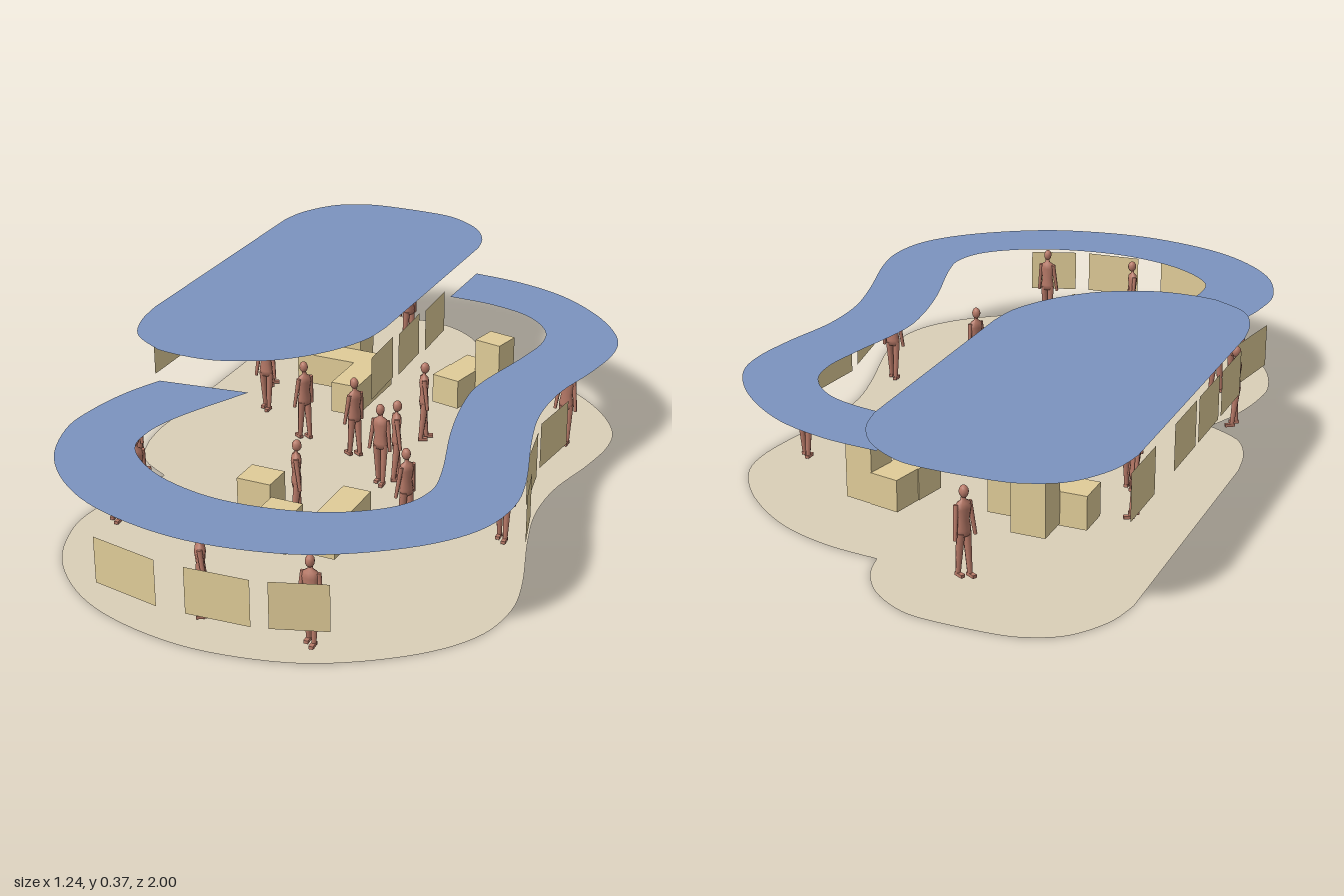
import * as THREE from 'three';

const mat = (color) => new THREE.MeshStandardMaterial({ color, side: THREE.DoubleSide });
const blue = mat(0x7b93bf), sand = mat(0xdacfb8), cream = mat(0xe0cc98), clay = mat(0xb87a68);

// Smooth plan curve through [x, z] points
const smooth = (pts, n = 90) =>
  new THREE.SplineCurve(pts.map(([x, z]) => new THREE.Vector2(x, -z))).getPoints(n);

// Outer and inner edges of the ribbon canopy, from the back round to the left
const outer = smooth([[0, -0.785], [0.15, -0.768], [0.3, -0.715], [0.44, -0.61], [0.53, -0.49],
  [0.555, -0.38], [0.54, -0.24], [0.507, -0.08], [0.507, 0.07], [0.54, 0.22], [0.6, 0.42],
  [0.618, 0.55], [0.59, 0.68], [0.5, 0.8], [0.35, 0.91], [0.2, 0.97], [0, 0.995], [-0.2, 0.962],
  [-0.35, 0.89], [-0.47, 0.77], [-0.53, 0.62], [-0.53, 0.5], [-0.505, 0.38], [-0.465, 0.28]], 120);
const inner = smooth([[0, -0.58], [0.13, -0.572], [0.25, -0.535], [0.33, -0.46], [0.355, -0.37],
  [0.34, -0.25], [0.3, -0.05], [0.305, 0.08], [0.34, 0.25], [0.4, 0.45], [0.415, 0.56],
  [0.37, 0.66], [0.25, 0.745], [0.1, 0.787], [-0.05, 0.79], [-0.2, 0.745], [-0.31, 0.66],
  [-0.335, 0.57], [-0.31, 0.45], [-0.22, 0.25]], 120);

// Pavilion outline: front corner, left side, back, right side
const frontLeft = smooth([[-0.465, 0.28], [-0.56, 0.22], [-0.605, 0.13], [-0.622, 0.03]], 16);
const back = smooth([[-0.622, -0.76], [-0.6, -0.85], [-0.54, -0.94], [-0.46, -0.985], [-0.38, -1],
  [-0.22, -1], [-0.14, -0.98], [-0.06, -0.925], [-0.01, -0.85], [0.01, -0.77]], 50);
const frontRight = smooth([[0.01, -0.1], [-0.005, 0], [-0.06, 0.11], [-0.14, 0.2], [-0.22, 0.25],
  [-0.31, 0.283], [-0.4, 0.288], [-0.465, 0.28]], 40);

function sheet(name, points, y, material) {
  const geo = new THREE.ShapeGeometry(new THREE.Shape(points)).rotateX(-Math.PI / 2);
  const mesh = new THREE.Mesh(geo, material);
  mesh.name = name;
  mesh.position.y = y;
  return mesh;
}

// Thin upright board between two plan points
function board(name, [x0, z0], [x1, z1], y0, y1) {
  const mesh = new THREE.Mesh(new THREE.PlaneGeometry(Math.hypot(x1 - x0, z1 - z0), y1 - y0), cream);
  mesh.name = name;
  mesh.position.set((x0 + x1) / 2, (y0 + y1) / 2, (z0 + z1) / 2);
  mesh.rotation.y = -Math.atan2(z1 - z0, x1 - x0);
  return mesh;
}

function block(name, x, z, w, d, y0, y1, turn = 0) {
  const mesh = new THREE.Mesh(new THREE.BoxGeometry(w, y1 - y0, d), cream);
  mesh.name = name;
  mesh.position.set(x, (y0 + y1) / 2, z);
  mesh.rotation.y = turn;
  return mesh;
}

// Standing figure about 0.23 tall
const torsoGeo = new THREE.LatheGeometry([[0, 0.108], [0.018, 0.11], [0.02, 0.125], [0.016, 0.148],
  [0.021, 0.178], [0.018, 0.192], [0.007, 0.199], [0.006, 0.208]]
  .map(([r, y]) => new THREE.Vector2(r, y)), 10).scale(1, 1, 0.65);
const headGeo = new THREE.SphereGeometry(0.0125, 10, 8).scale(0.9, 1.25, 1);
const legGeo = new THREE.CylinderGeometry(0.0105, 0.006, 0.11, 8);
const footGeo = new THREE.BoxGeometry(0.011, 0.008, 0.026);
const armGeo = new THREE.CylinderGeometry(0.0065, 0.0045, 0.085, 6);

function person(x, z, turn) {
  const g = new THREE.Group();
  g.name = 'visitor';
  const add = (geo, px, py, pz, rx = 0, rz = 0) => {
    const m = new THREE.Mesh(geo, clay);
    m.position.set(px, py, pz);
    m.rotation.set(rx, 0, rz);
    g.add(m);
    return m;
  };
  add(torsoGeo, 0, 0, 0).name = 'torso';
  add(headGeo, 0, 0.22, 0.002).name = 'head';
  for (const s of [-1, 1]) {
    add(legGeo, s * 0.01, 0.064, s * 0.004, s * -0.1).name = 'leg';
    add(footGeo, s * 0.01, 0.011, s * 0.009 + 0.006).name = 'foot';
    add(armGeo, s * 0.024, 0.148, 0.002, -0.1, s * 0.12).name = 'arm';
  }
  g.position.set(x, 0, z);
  g.rotation.y = turn;
  return g;
}

export function createModel() {
  const model = new THREE.Group();

  // Floor and the two flat canopies
  model.add(
    sheet('floor', [...outer, ...frontLeft.slice(1), ...back], 0, sand),
    sheet('ribbonCanopy', [...outer, ...inner.slice().reverse()], 0.277, blue),
    sheet('pavilionRoof', [...frontLeft, ...back, ...frontRight.slice(0, -1)], 0.365, blue));

  // Hanging boards along both long sides of the pavilion
  for (const z of [0, -0.18, -0.36, -0.655])
    model.add(board('leftHangingBoard', [-0.6, z + 0.08], [-0.6, z - 0.08], 0.19, 0.31));
  for (const z of [-0.09, -0.27, -0.455])
    model.add(board('innerHangingBoard', [0.008, z + 0.08], [0, z - 0.08], 0.19, 0.31));

  // Boards following the ribbon edge
  const edgeBoards = [
    [[-0.25, 0.955], [-0.07, 0.99], 0.085, 0.205], [[0.005, 0.99], [0.165, 0.98], 0.085, 0.205],
    [[0.205, 0.97], [0.335, 0.925], 0.085, 0.205], [[-0.5, 0.38], [-0.53, 0.57], 0.085, 0.205],
    [[0.6, 0.41], [0.565, 0.28], 0.105, 0.23], [[0.535, 0.23], [0.505, 0.07], 0.105, 0.23],
    [[0.495, 0.02], [0.512, -0.14], 0.105, 0.23]];
  for (const b of edgeBoards) model.add(board('edgeBoard', ...b));

  // Display blocks: front cluster, back cluster, pavilion cluster
  model.add(
    block('longBlock', 0.138, 0.465, 0.075, 0.21, 0.045, 0.13),
    block('tallBlock', -0.04, 0.53, 0.09, 0.08, 0.045, 0.21),
    block('raisedBlock', 0.052, 0.62, 0.085, 0.095, 0.09, 0.18),
    block('tallBlock', 0.165, -0.515, 0.08, 0.08, 0.02, 0.2, -0.2),
    block('lowBlock', 0.088, -0.53, 0.082, 0.085, 0.02, 0.105, -0.2),
    block('lowBlock', 0.07, -0.445, 0.085, 0.09, 0.02, 0.105, -0.2),
    block('lowBlock', -0.27, -0.435, 0.26, 0.09, 0.015, 0.105),
    block('lowBlock', -0.18, -0.315, 0.08, 0.15, 0.015, 0.105),
    block('tallBlock', -0.285, -0.525, 0.09, 0.09, 0.02, 0.19));

  // Visitors
  const spots = [[0.44, -0.345], [0.08, -0.2], [-0.22, -0.07], [-0.405, -0.2], [-0.025, 0.37],
    [-0.05, -0.03], [0.08, 0.09], [0.11, 0.055], [-0.22, -0.79], [0.26, 0.87], [-0.02, 0.87],
    [0.245, 0.3], [0.48, 0.24], [-0.47, -0.345], [-0.405, 0.51], [-0.445, 0.55], [-0.525, 0.3]];
  spots.forEach(([x, z], i) => model.add(person(x, z, i * 2.1)));

  return model;
}
